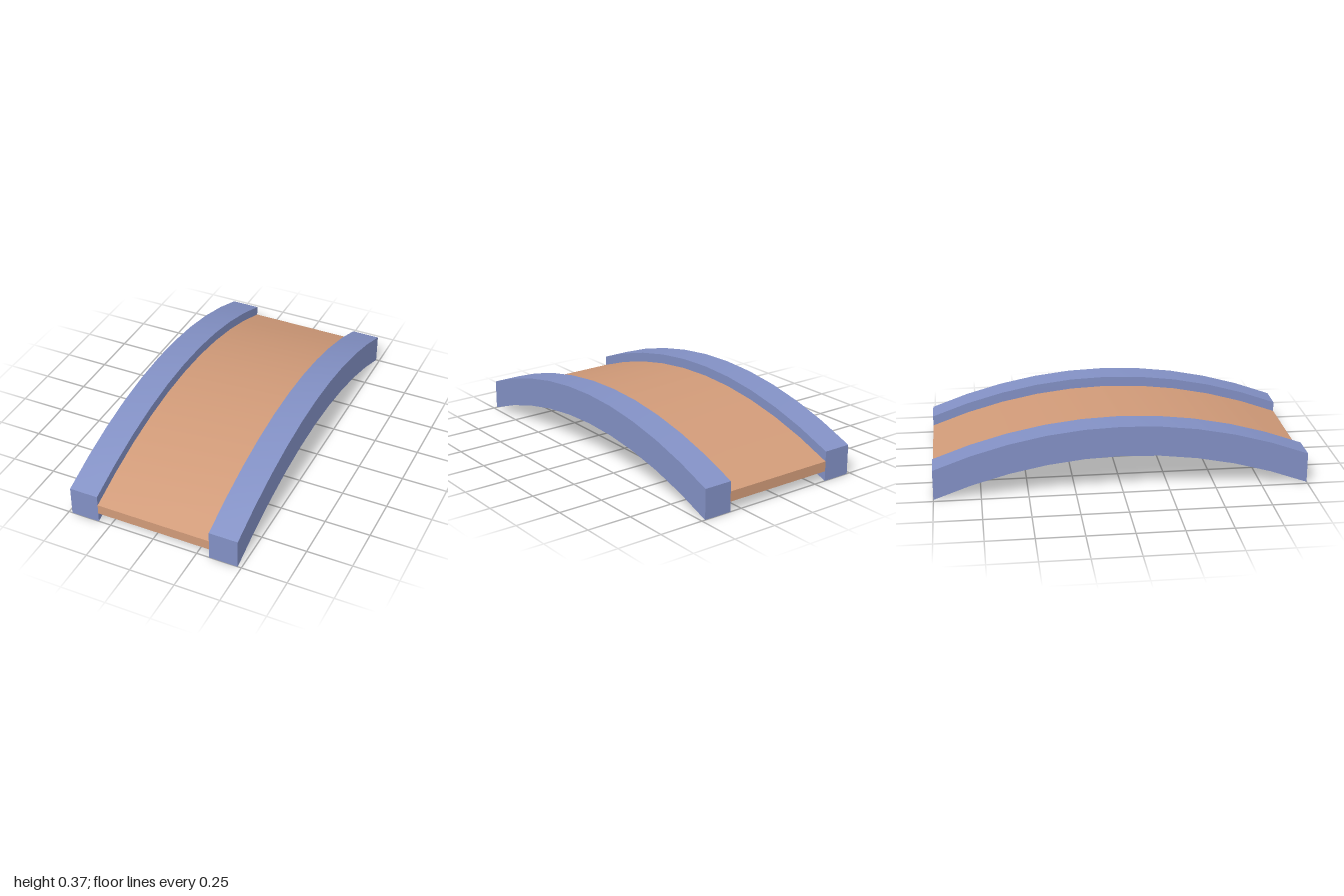
import * as THREE from 'three';
import { toCreasedNormals } from 'three/addons/utils/BufferGeometryUtils.js';

const SEGMENTS = 10;
const RISE = 0.2;

// Arched slab: a curved strip in the z-y plane, extruded across x
function archedSlab(name, width, bottom, top, color) {
  const points = [];
  const archY = (z) => RISE * (1 - z * z);
  for (let i = 0; i <= SEGMENTS; i++) {
    const z = -1 + (2 * i) / SEGMENTS;
    points.push(new THREE.Vector2(z, archY(z) + bottom));
  }
  for (let i = SEGMENTS; i >= 0; i--) {
    const z = -1 + (2 * i) / SEGMENTS;
    points.push(new THREE.Vector2(z, archY(z) + top));
  }
  const geometry = new THREE.ExtrudeGeometry(new THREE.Shape(points), {
    depth: width,
    bevelEnabled: false,
  });
  geometry.translate(0, 0, -width / 2);
  geometry.rotateY(-Math.PI / 2);
  const mesh = new THREE.Mesh(
    toCreasedNormals(geometry, 0.5),
    new THREE.MeshStandardMaterial({ color })
  );
  mesh.name = name;
  return mesh;
}

export function createModel() {
  const bridge = new THREE.Group();
  bridge.name = 'archedBridge';

  // Walkway between the side beams
  bridge.add(archedSlab('deck', 0.64, 0.055, 0.11, 0xd09a78));

  // Side beams, deeper than the deck
  for (const side of [-1, 1]) {
    const beam = archedSlab(side > 0 ? 'leftBeam' : 'rightBeam', 0.16, 0, 0.165, 0x8290c4);
    beam.position.x = side * 0.4;
    bridge.add(beam);
  }
  return bridge;
}
